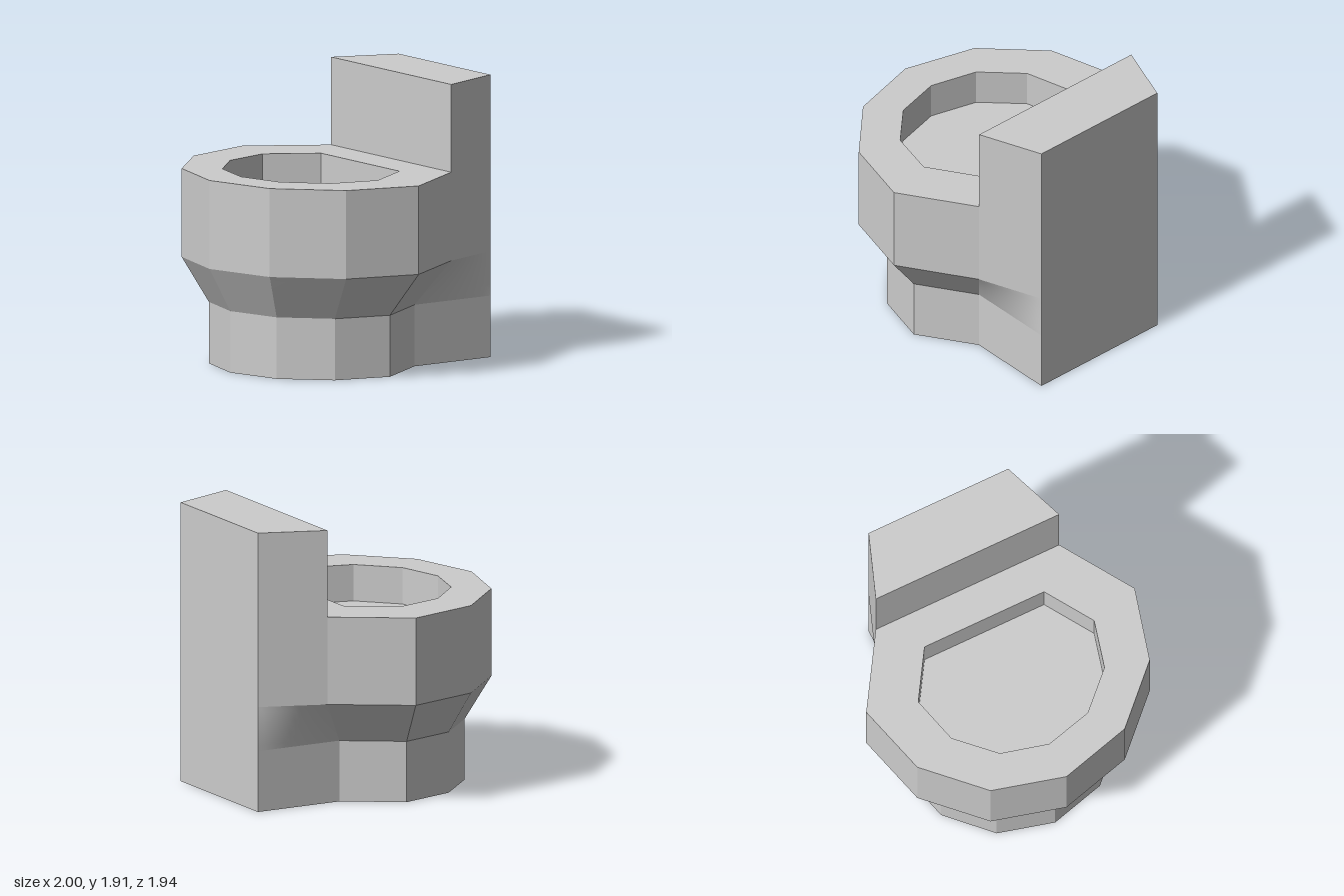
import * as THREE from 'three';
import { toCreasedNormals } from 'three/addons/utils/BufferGeometryUtils.js';

const BACK = [0.52, -0.972];

// Half outlines on the +x side, [x, z] from back to front centre
const BOWL = [[0.683, -0.53], [1, -0.03], [0.866, 0.472], [0.5, 0.838], [0, 0.972]];
const FOOT = [[0.52, -0.345], [0.763, 0.035], [0.661, 0.417], [0.385, 0.697], [0, 0.8]];
const BASIN = [[0.445, -0.275], [0.655, 0.057], [0.57, 0.387], [0.327, 0.627], [0, 0.712]];

// Complete a half outline by mirroring it across x = 0
const mirror = half => [
  ...half,
  ...half.filter(p => p[0] > 0).reverse().map(([x, z]) => [-x, z]),
];

// Run the outline straight back to the wall, in short steps so the twisted side blends
function withBack(half, steps = 12) {
  const side = [];
  for (let i = 0; i < steps; i++) {
    const t = i / steps;
    side.push(BACK.map((v, k) => v + (half[0][k] - v) * t));
  }
  return mirror([...side, ...half]);
}

// Walls from the lower outline to the upper one, with equal point counts
function loft(y0, lower, y1, upper, { rows = 1, inward = false } = {}) {
  const pos = [];
  const n = lower.length;
  const at = (i, row) => {
    const t = row / rows;
    const [x0, z0] = lower[i % n], [x1, z1] = upper[i % n];
    return [x0 + (x1 - x0) * t, y0 + (y1 - y0) * t, z0 + (z1 - z0) * t];
  };
  for (let r = 0; r < rows; r++) {
    for (let i = 0; i < n; i++) {
      const a0 = at(i, r), b0 = at(i + 1, r), a1 = at(i, r + 1), b1 = at(i + 1, r + 1);
      const tris = inward ? [a0, b1, a1, a0, b0, b1] : [a0, a1, b1, a0, b1, b0];
      pos.push(...tris.flat());
    }
  }
  const geo = new THREE.BufferGeometry();
  geo.setAttribute('position', new THREE.Float32BufferAttribute(pos, 3));
  return toCreasedNormals(geo, 0.15);
}

// Flat horizontal face, optionally with a hole, facing up or down
function cap(pts, y, { hole = null, down = false } = {}) {
  const s = down ? 1 : -1;
  const to2D = list => list.map(([x, z]) => new THREE.Vector2(x, s * z));
  const shape = new THREE.Shape(to2D(pts));
  if (hole) shape.holes.push(new THREE.Path(to2D(hole)));
  return new THREE.ShapeGeometry(shape).rotateX(s * Math.PI / 2).translate(0, y, 0);
}

export function createModel() {
  const model = new THREE.Group();
  model.name = 'toilet';
  const material = new THREE.MeshStandardMaterial({ color: 0xcccccc });

  const part = (name, pieces) => {
    const group = new THREE.Group();
    group.name = name;
    for (const [pieceName, geo] of Object.entries(pieces)) {
      const mesh = new THREE.Mesh(geo, material);
      mesh.name = pieceName;
      group.add(mesh);
    }
    model.add(group);
  };

  const foot = withBack(FOOT), bowl = withBack(BOWL);
  const basin = mirror(BASIN), tank = mirror([BACK, BOWL[0]]);

  // Foot and flared neck
  part('pedestal', {
    footWall: loft(0, foot, 0.417, foot),
    footUnderside: cap(foot, 0, { down: true }),
    flaredNeck: loft(0.417, foot, 0.72, bowl, { rows: 8 }),
  });

  // Bowl with a flat rim
  part('bowl', {
    bowlWall: loft(0.72, bowl, 1.32, bowl),
    rim: cap(mirror(BOWL), 1.32, { hole: basin }),
  });

  // Recessed basin
  part('basin', {
    basinWall: loft(1.07, basin, 1.32, basin, { inward: true }),
    basinFloor: cap(basin, 1.07),
  });

  // Tank at the back
  part('tank', {
    tankWall: loft(1.32, tank, 1.915, tank),
    tankTop: cap(tank, 1.915),
  });

  return model;
}
